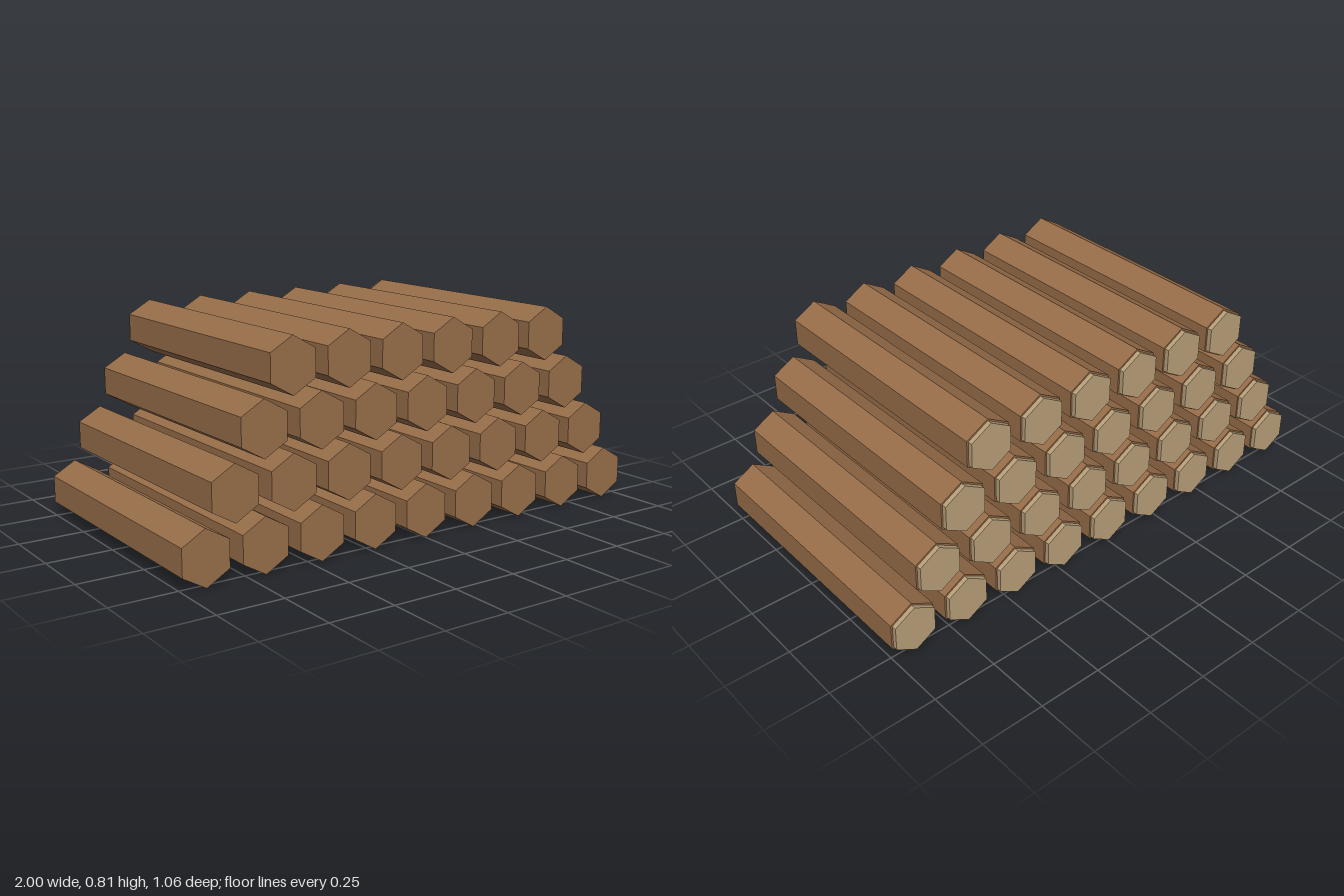
import * as THREE from 'three';

export function createModel() {
  const group = new THREE.Group();
  group.name = 'logStack';

  const bark = new THREE.MeshStandardMaterial({ color: 0x976d49, flatShading: true });
  bark.name = 'brown wood';
  const cut = new THREE.MeshStandardMaterial({ color: 0xb89f79, flatShading: true });
  cut.name = 'pale cut wood';

  // Hexagonal prism along z with a corner pointing up, spanning z0..z1
  const hexBar = (radius, z0, z1) =>
    new THREE.CylinderGeometry(radius, radius, z1 - z0, 6)
      .rotateX(Math.PI / 2)
      .translate(0, 0, (z0 + z1) / 2);

  const radius = 0.1025, spacing = 0.2278, rowHeight = 0.2;
  const logGeometry = hexBar(radius, -0.512, 0.53);
  const capGeometry = hexBar(0.095, -0.53, -0.512);

  // Four staggered rows, each one log shorter than the row below
  for (let row = 0; row < 4; row++) {
    const count = 9 - row;
    for (let i = 0; i < count; i++) {
      const log = new THREE.Group();
      log.name = `log_row${row + 1}_${i + 1}`;
      const body = new THREE.Mesh(logGeometry, bark);
      body.name = 'logBody';
      const cap = new THREE.Mesh(capGeometry, cut);
      cap.name = 'backEndCap';
      log.add(body, cap);
      log.position.set((i - (count - 1) / 2) * spacing, radius + row * rowHeight, 0);
      group.add(log);
    }
  }
  return group;
}
